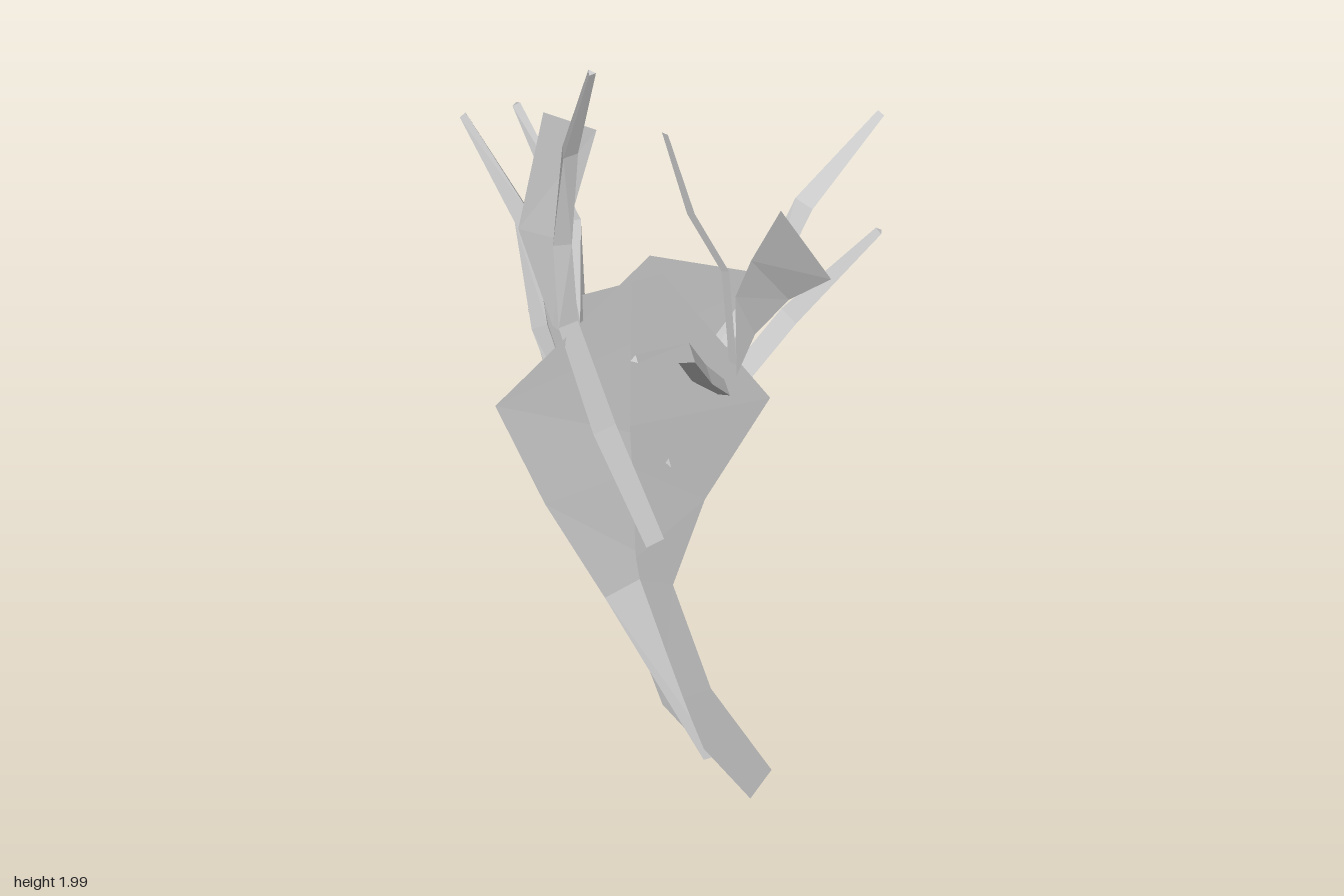
import * as THREE from 'three';

const material = new THREE.MeshStandardMaterial({ color: 0xcccccc, flatShading: true, side: THREE.DoubleSide });

function meshFrom(name, points, index) {
  const geometry = new THREE.BufferGeometry();
  geometry.setAttribute('position', new THREE.Float32BufferAttribute(points.flat(), 3));
  geometry.setIndex(index);
  const flat = geometry.toNonIndexed();
  flat.computeVertexNormals();
  const mesh = new THREE.Mesh(flat, material);
  mesh.name = name;
  return mesh;
}

// Thin sheet spanned between successive pairs of edge points
function sheet(name, rows) {
  const index = [];
  for (let i = 0; i < rows.length - 1; i++) {
    const a = 2 * i;
    index.push(a, a + 1, a + 3, a, a + 3, a + 2);
  }
  return meshFrom(name, rows.flat(), index);
}

// Three-sided twig following a bent path, with one radius per point
function twig(name, path, radii) {
  const pts = path.map((p) => new THREE.Vector3(...p));
  const points = [], index = [];
  pts.forEach((p, i) => {
    const dir = pts[Math.min(i + 1, pts.length - 1)].clone().sub(pts[Math.max(i - 1, 0)]).normalize();
    const side = new THREE.Vector3(-dir.z, 0, dir.x).normalize();
    const up = side.clone().cross(dir).normalize();
    for (let k = 0; k < 3; k++) {
      const a = Math.PI / 2 + (k * Math.PI * 2) / 3;
      points.push(p.clone().addScaledVector(side, Math.cos(a) * radii[i])
        .addScaledVector(up, Math.sin(a) * radii[i]).toArray());
    }
    if (i === 0) return;
    for (let k = 0; k < 3; k++) {
      const a = 3 * (i - 1) + k, b = 3 * (i - 1) + ((k + 1) % 3);
      index.push(a, b, b + 3, a, b + 3, a + 3);
    }
  });
  const e = points.length - 3;
  index.push(0, 2, 1, e, e + 1, e + 2);
  return meshFrom(name, points, index);
}

export function createModel() {
  const group = new THREE.Group();
  group.name = 'branchingPlant';

  // Two large crossed sheets that share a bent stem
  group.add(sheet('wideSheet', [
    [[0.41, 0.01, 0.125], [0.48, 0.12, 0.125]],
    [[0.12, 0.16, 0.125], [0.28, 0.27, 0.125]],
    [[-0.05, 0.45, 0.115], [0.15, 0.51, 0.12]],
    [[-0.25, 0.74, 0.07], [0.26, 0.8, 0.125]],
    [[-0.42, 1.02, 0.02], [0.48, 1.18, 0.13]],
    [[0.06, 1.33, 0.058], [0.06, 1.33, 0.058]],
  ]));
  group.add(sheet('crossSheet', [
    [[0.27, 0.06, 0.09], [0.27, 0.07, 0.14]],
    [[0.04, 0.48, 0.03], [0.035, 0.48, 0.24]],
    [[0.02, 0.74, -0.13], [-0.035, 0.78, 0.38]],
    [[0.02, 1.1, -0.41], [-0.09, 1.09, 0.5]],
    [[-0.045, 1.31, -0.01], [-0.045, 1.31, -0.01]],
  ]));

  // Flat leaves
  group.add(sheet('leftLeaf', [
    [[0.36, 1.19, 0.12], [0.37, 1.22, 0.12]],
    [[0.365, 1.42, 0.13], [0.43, 1.34, 0.13]],
    [[0.435, 1.56, 0.15], [0.56, 1.5, 0.15]],
    [[0.57, 1.775, 0.19], [0.745, 1.655, 0.2]],
  ]));
  group.add(sheet('tallLeaf', [
    [[-0.12, 1.2, 0.26], [-0.08, 1.18, 0.25]],
    [[-0.21, 1.45, 0.285], [-0.09, 1.45, 0.25]],
    [[-0.15, 1.795, 0.26], [-0.02, 1.775, 0.21]],
  ]));
  group.add(sheet('thinStrip', [
    [[0.335, 1.22, 0.12], [0.36, 1.22, 0.12]],
    [[0.315, 1.47, 0.125], [0.34, 1.48, 0.125]],
    [[0.215, 1.6, 0.14], [0.24, 1.61, 0.14]],
    [[0.15, 1.815, 0.16], [0.17, 1.815, 0.16]],
  ]));

  // Twigs growing out of the sheets
  const radii = [0.02, 0.03, 0.03, 0.012];
  const paths = {
    frontTwig: [[0.29, 1.08, 0.06], [0.36, 1.24, 0.24], [0.45, 1.41, 0.4], [0.53, 1.55, 0.675]],
    outerRightTwig: [[-0.2, 0.8, 0.08], [-0.36, 1.0, 0.03], [-0.49, 1.22, -0.05], [-0.745, 1.385, -0.105]],
    innerRightTwig: [[-0.15, 0.84, 0.09], [-0.23, 1.08, 0.05], [-0.29, 1.32, 0.0], [-0.44, 1.605, 0.04]],
    backTwig: [[0.0, 0.94, -0.11], [0.02, 1.09, -0.33], [0.05, 1.3, -0.46], [0.11, 1.485, -0.675]],
    backLeftTwig: [[0.13, 0.83, 0.1], [0.23, 1.05, 0.0], [0.32, 1.24, -0.12], [0.485, 1.485, -0.26]],
  };
  for (const [name, path] of Object.entries(paths)) group.add(twig(name, path, radii));
  group.add(twig('tallTwig', [
    [0.1, 0.62, 0.135], [-0.01, 0.93, 0.2], [-0.085, 1.22, 0.25],
    [-0.09, 1.45, 0.26], [-0.06, 1.72, 0.27], [0.035, 1.995, 0.29],
  ], [0.028, 0.035, 0.03, 0.027, 0.025, 0.012]));
  return group;
}
